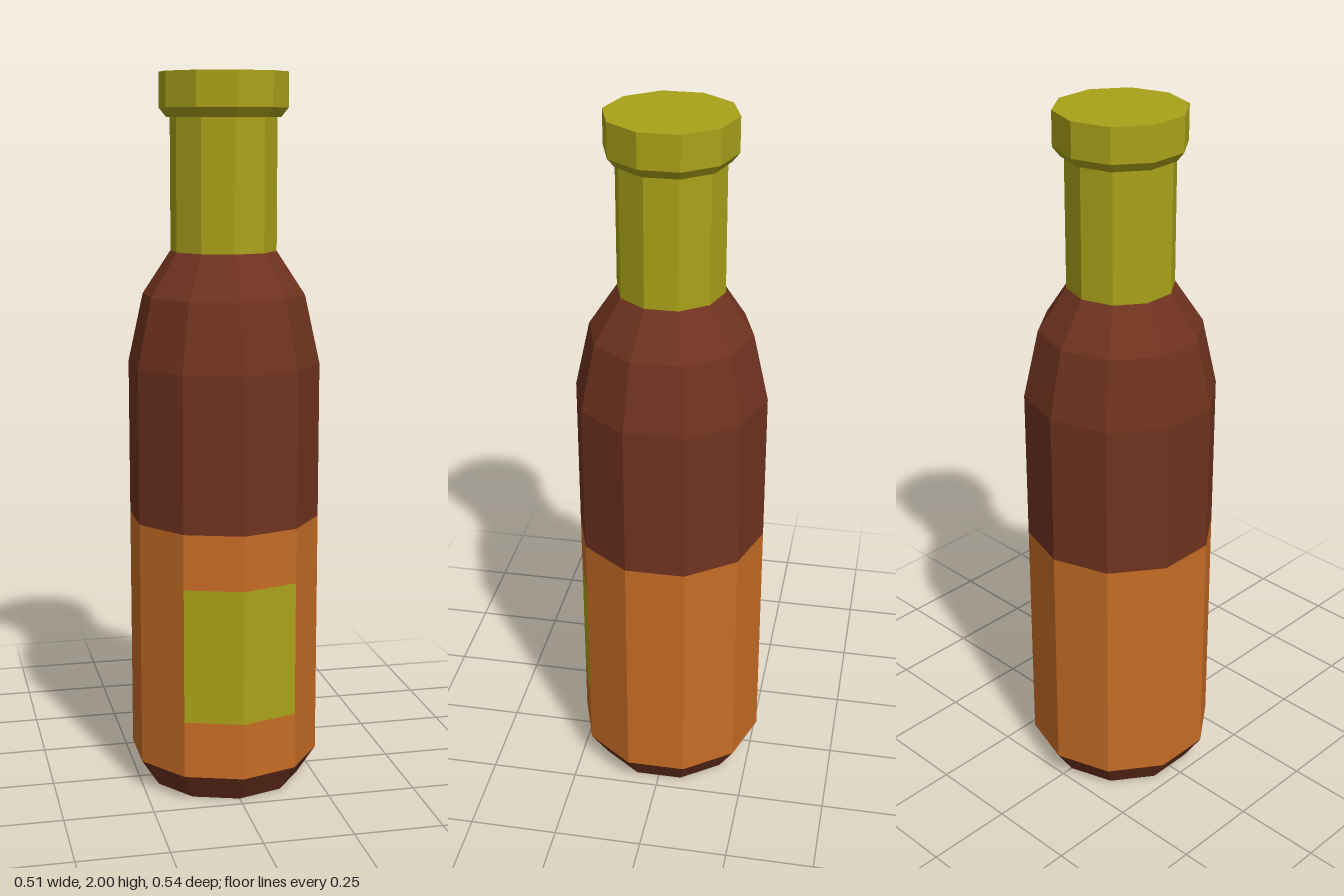
import * as THREE from 'three';

const SIDES = 10;
const STEP = (Math.PI * 2) / SIDES;
const R = 0.268; // body radius, with a corner facing the front

const material = (color) => new THREE.MeshStandardMaterial({ color, flatShading: true });

// Faceted ring of the bottle, turned from [radius, height] pairs listed bottom to top
function turned(name, mat, profile, firstSide = 0, sides = SIDES) {
  const points = profile.map(([r, y]) => new THREE.Vector2(r, y));
  const geometry = new THREE.LatheGeometry(points, sides, firstSide * STEP, sides * STEP);
  const mesh = new THREE.Mesh(geometry, mat);
  mesh.name = name;
  return mesh;
}

export function createModel() {
  const bottle = new THREE.Group();
  bottle.name = 'bottle';
  const glass = material(0x70331f);
  const wrap = material(0xc66c25);
  const foil = material(0xaaa219);

  bottle.add(
    // Glass: chamfered foot, upper body and shoulder
    turned('foot', glass, [[0, 0], [0.215, 0], [R, 0.08]]),
    turned('shoulder', glass, [[R, 0.775], [R, 1.21], [0.226, 1.4], [0.147, 1.52]]),

    // Wrap around the lower body, left open at the front for the label
    turned('wrapBottom', wrap, [[R, 0.08], [R, 0.24]]),
    turned('wrapMiddle', wrap, [[R, 0.24], [R, 0.62]], 1, SIDES - 2),
    turned('wrapTop', wrap, [[R, 0.62], [R, 0.775]]),

    // Label fills the two front sides, flush with the wrap
    turned('label', foil, [[R, 0.24], [R, 0.62]], -1, 2),

    // Foil neck and the wider cap with a bevelled lower edge
    turned('neck', foil, [[0.147, 1.52], [0.147, 1.88]]),
    turned('cap', foil, [[0.147, 1.88], [0.157, 1.88], [0.177, 1.905], [0.177, 2], [0, 2]]),
  );
  return bottle;
}
